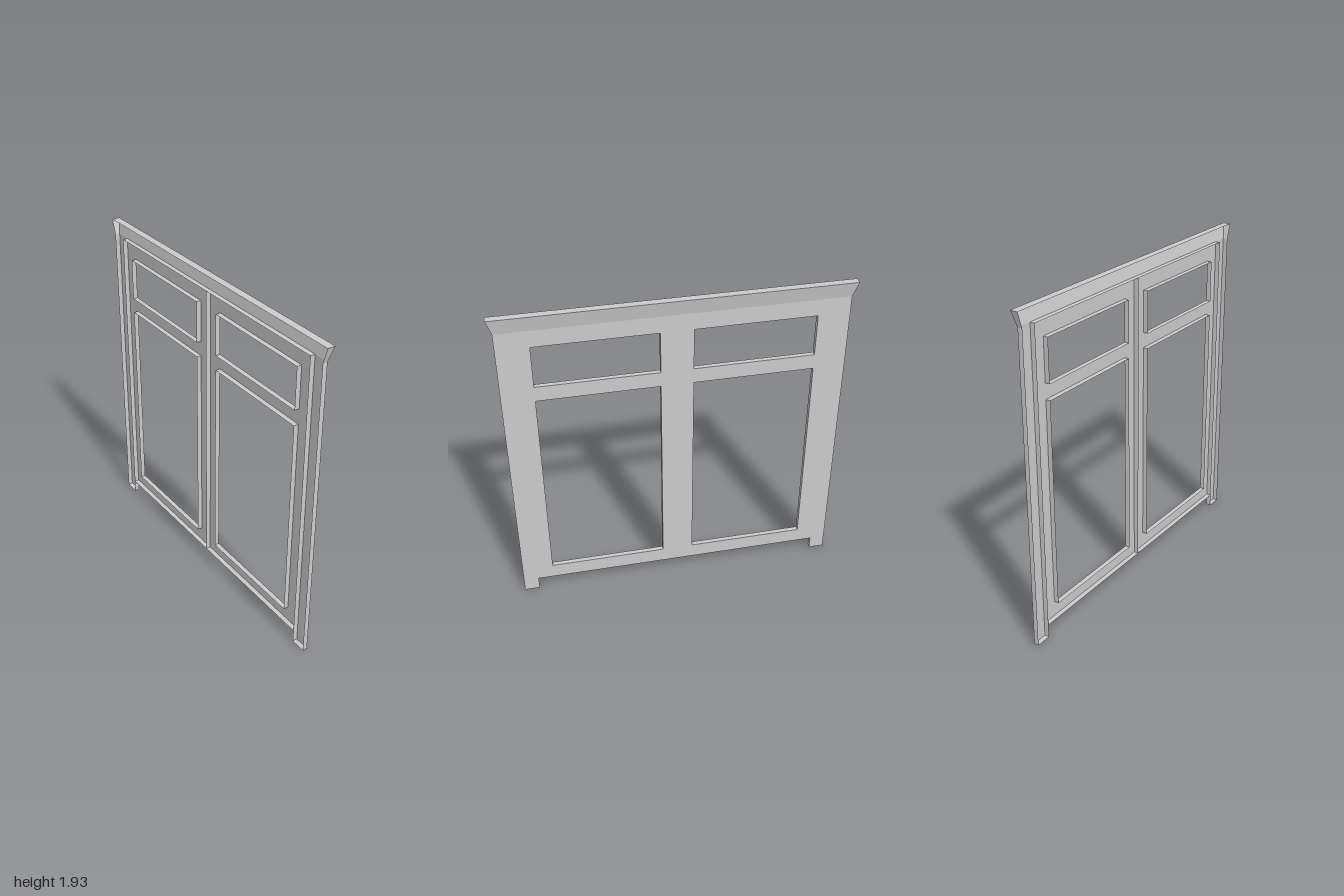
import * as THREE from 'three';

const BACK = -0.023, FRONT = 0.006, LIP = 0.023; // depths of the open back, the face and the cornice edge
const TOP = 1.935, HEAD = 1.845, SILL = 0.08;    // heights
const OUTER = 0.972, INNER = 0.881;              // half widths of the casing

const material = new THREE.MeshStandardMaterial({ color: 0xcccccc, side: THREE.DoubleSide, flatShading: true });

function add(group, name, geometry) {
  const mesh = new THREE.Mesh(geometry, material);
  mesh.name = name;
  group.add(mesh);
}

// Flat-sided surface between two polylines of [x, y, z] points
function ruled(a, b) {
  const p = [];
  for (let i = 0; i + 1 < a.length; i++) {
    p.push(...a[i], ...a[i + 1], ...b[i + 1], ...a[i], ...b[i + 1], ...b[i]);
  }
  const g = new THREE.BufferGeometry();
  g.setAttribute('position', new THREE.Float32BufferAttribute(p, 3));
  g.computeVertexNormals();
  return g;
}

// Thin wall following a 2D path, from the open back to the face
const wall = (path) => ruled(path.map(([x, y]) => [x, y, BACK]), path.map(([x, y]) => [x, y, FRONT]));

const rect = (x0, x1, y0, y1) => [[x0, y0], [x1, y0], [x1, y1], [x0, y1]];
const vectors = (pts) => pts.map(([x, y]) => new THREE.Vector2(x, y));

// Flat front face with rectangular openings
function face(outline, holes = []) {
  const shape = new THREE.Shape(vectors(outline));
  holes.forEach((h) => shape.holes.push(new THREE.Path(vectors(h))));
  return new THREE.ShapeGeometry(shape).translate(0, 0, FRONT);
}

function createPost(side) {
  const post = new THREE.Group();
  post.name = side < 0 ? 'leftPost' : 'rightPost';
  const x0 = side < 0 ? -OUTER : INNER;
  const x1 = side < 0 ? -INNER : OUTER;
  add(post, 'postFace', face(rect(x0, x1, 0, HEAD)));
  // side and foot walls, open into the cornice at the top
  add(post, 'postWalls', wall([[x0, HEAD], [x0, 0], [x1, 0], [x1, HEAD]]));
  return post;
}

function createSash(side) {
  const sash = new THREE.Group();
  sash.name = side < 0 ? 'leftSash' : 'rightSash';
  const x0 = side < 0 ? -INNER : 0;
  const x1 = side < 0 ? 0 : INNER;
  const h0 = side < 0 ? -0.787 : 0.093;
  const h1 = side < 0 ? -0.093 : 0.787;
  const openings = [rect(h0, h1, 0.172, 1.404), rect(h0, h1, 1.495, 1.745)];
  add(sash, 'sashFace', face(rect(x0, x1, SILL, HEAD), openings));
  openings.forEach((o) => add(sash, 'openingWalls', wall([...o, o[0]].reverse())));
  add(sash, 'sashBottom', wall([[x0, SILL], [x1, SILL]]));
  add(sash, 'sashTop', wall([[x1, HEAD], [x0, HEAD]]));
  return sash;
}

function createCornice() {
  const cornice = new THREE.Group();
  cornice.name = 'cornice';
  const path = (w, y, front) => [[-w, y, BACK], [-w, y, front], [w, y, front], [w, y, BACK]];
  const upper = path(1, TOP, LIP);
  // flared front and ends, then the flat top
  add(cornice, 'corniceFlare', ruled(path(OUTER, HEAD, FRONT), upper));
  add(cornice, 'corniceTop', ruled([upper[1], upper[2]], [upper[0], upper[3]]));
  return cornice;
}

export function createModel() {
  const model = new THREE.Group();
  model.name = 'windowFrame';
  const frame = new THREE.Group();
  frame.name = 'frame';
  for (const side of [-1, 1]) frame.add(createPost(side), createSash(side));
  // single wall shared by the two sashes
  add(frame, 'centreWall', wall([[0, SILL], [0, HEAD]]));
  frame.add(createCornice());
  // turn the face towards +x
  frame.rotation.y = Math.PI / 2;
  model.add(frame);
  return model;
}
